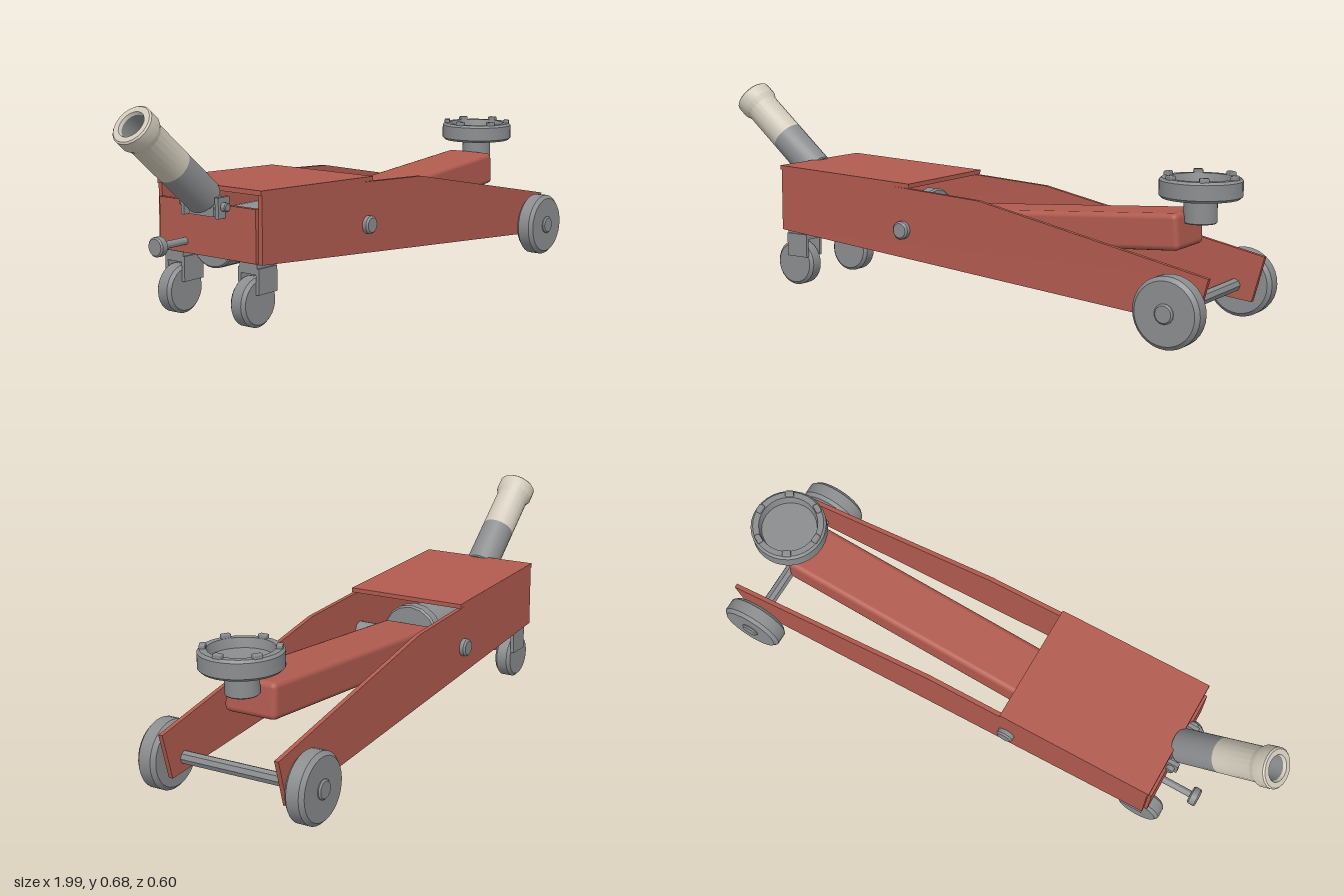
import * as THREE from 'three';
import { toCreasedNormals } from 'three/addons/utils/BufferGeometryUtils.js';
import { RoundedBoxGeometry } from 'three/addons/geometries/RoundedBoxGeometry.js';

const mat = (name, color) => {
  const m = new THREE.MeshStandardMaterial({ color });
  m.name = name;
  return m;
};

export function createModel() {
  const model = new THREE.Group();
  model.name = 'floorJack';
  const red = mat('red paint', 0xb15b4f);
  const steel = mat('grey steel', 0x8b8d8f);
  const beige = mat('beige grip', 0xd3ccbd);

  const add = (name, geo, material, x = 0, y = 0, z = 0, parent = model) => {
    const m = new THREE.Mesh(geo, material);
    m.name = name;
    m.position.set(x, y, z);
    parent.add(m);
    return m;
  };
  const box = (name, w, h, d, material, x, y, z, parent) =>
    add(name, new THREE.BoxGeometry(w, h, d), material, x, y, z, parent);
  // Turned solid from [radius, height] pairs, bottom to top
  const turned = (pts, sides = 24) => toCreasedNormals(
    new THREE.LatheGeometry(pts.map(p => new THREE.Vector2(...p)), sides), 0.5);
  // Cylinder with chamfered rims, centred on the origin
  const rod = (r, len, c, sides) => {
    const h = len / 2;
    return turned([[0, -h], [r - c, -h], [r, c - h], [r, h - c], [r - c, h], [0, h]], sides);
  };
  const rodZ = (name, r, len, c, x, y, z, sides) => {
    const m = add(name, rod(r, len, c, sides), steel, x, y, z);
    m.rotation.x = Math.PI / 2;
    return m;
  };
  const rodX = (name, r, x0, x1, c, y, z, sides) => {
    const m = add(name, rod(r, x1 - x0, c, sides), steel, (x0 + x1) / 2, y, z);
    m.rotation.z = -Math.PI / 2;
    return m;
  };

  // Frame: two side plates, cover and back panel
  const outline = new THREE.Shape([
    [-0.63, 0.2], [0.79, 0.077], [0.95, 0.062], [0.99, 0.21], [0.19, 0.37], [-0.63, 0.418],
  ].map(p => new THREE.Vector2(...p)));
  const plate = new THREE.ExtrudeGeometry(outline, { depth: 0.015, bevelEnabled: false });
  add('leftOrRearSidePlate', plate, red, 0, 0, -0.212);
  add('frontSidePlate', plate, red, 0, 0, 0.197);
  const cover = box('topCover', 0.55, 0.015, 0.426, red, -0.36, 0.406, 0);
  cover.rotation.z = -0.04;
  box('backPanel', 0.016, 0.165, 0.394, red, -0.634, 0.286, 0);

  // Lifting arm and its pivot
  const arm = add('liftArm', new RoundedBoxGeometry(0.94, 0.115, 0.185, 2, 0.018), red, 0.36, 0.279, 0);
  arm.rotation.z = 0.073;
  rodZ('armPivot', 0.03, 0.464, 0.006, -0.11, 0.248, 0, 16);

  // Hydraulic cylinder
  rodX('pumpCylinder', 0.09, -0.62, -0.14, 0.005, 0.252, 0);
  rodX('pumpCollar', 0.108, -0.165, -0.12, 0.006, 0.252, 0, 16);

  // Front axle and wheels
  rodZ('frontAxle', 0.021, 0.5, 0.002, 0.89, 0.11, 0, 8);
  for (const s of [-1, 1]) {
    rodZ('frontWheel', 0.11, 0.066, 0.012, 0.89, 0.11, s * 0.261, 32);
    rodZ('frontHub', 0.031, 0.088, 0.005, 0.89, 0.11, s * 0.258, 16);
    rodZ('axleCollar', 0.03, 0.016, 0.004, 0.89, 0.11, s * 0.221, 16);
  }

  // Rear casters
  for (const s of [-1, 1]) {
    const z = s * 0.152;
    box('casterMount', 0.12, 0.017, 0.095, steel, -0.57, 0.208, z);
    box('casterForkTop', 0.085, 0.035, 0.07, steel, -0.583, 0.184, z);
    for (const k of [-1, 1])
      box('casterForkCheek', 0.085, 0.08, 0.012, steel, -0.583, 0.145, z + k * 0.035);
    rodZ('casterWheel', 0.078, 0.058, 0.01, -0.605, 0.078, z, 28);
  }

  // Saddle with six grip lugs
  const saddle = new THREE.Group();
  saddle.name = 'saddle';
  saddle.position.set(0.86, 0, 0);
  model.add(saddle);
  add('saddleStem', rod(0.052, 0.095, 0.003), steel, 0, 0.382, 0, saddle);
  add('saddleDish', turned([
    [0, 0.412], [0.12, 0.412], [0.128, 0.42], [0.128, 0.467], [0.12, 0.475],
    [0.1, 0.475], [0.094, 0.445], [0, 0.445],
  ], 32), steel, 0, 0, 0, saddle);
  for (let i = 0; i < 6; i++) {
    const a = i * Math.PI / 3;
    const lug = add('saddleLug', new RoundedBoxGeometry(0.02, 0.02, 0.03, 1, 0.004), steel,
      0.111 * Math.cos(a), 0.477, -0.111 * Math.sin(a), saddle);
    lug.rotation.y = a;
  }

  // Handle socket with a flared, hollow grip
  const handle = new THREE.Group();
  handle.name = 'handle';
  handle.position.set(-0.65, 0.385, 0);
  handle.rotation.z = 0.873;
  model.add(handle);
  add('handleSocket', turned([[0, 0], [0.054, 0], [0.058, 0.004], [0.058, 0.174], [0, 0.174]], 20),
    steel, 0, 0, 0, handle);
  add('handleGrip', turned([
    [0.058, 0.174], [0.058, 0.325], [0.067, 0.345], [0.067, 0.385], [0.062, 0.39], [0.044, 0.39], [0.04, 0.38],
  ], 20), beige, 0, 0, 0, handle);
  add('handleBore', turned([[0.04, 0.38], [0.04, 0.23], [0, 0.23]], 20), steel, 0, 0, 0, handle);

  // Handle bracket and hinge pin
  box('handleBlock', 0.06, 0.055, 0.1, steel, -0.635, 0.36, 0);
  for (const s of [-1, 1])
    box('handleCheek', 0.05, 0.065, 0.014, steel, -0.648, 0.362, s * 0.07);
  rodZ('handlePin', 0.014, 0.19, 0.003, -0.65, 0.365, 0, 12);

  // Release valve
  rodX('valveStem', 0.012, -0.75, -0.62, 0.002, 0.24, -0.09, 12);
  rodX('valveKnob', 0.031, -0.775, -0.745, 0.005, 0.24, -0.09, 16);

  return model;
}
